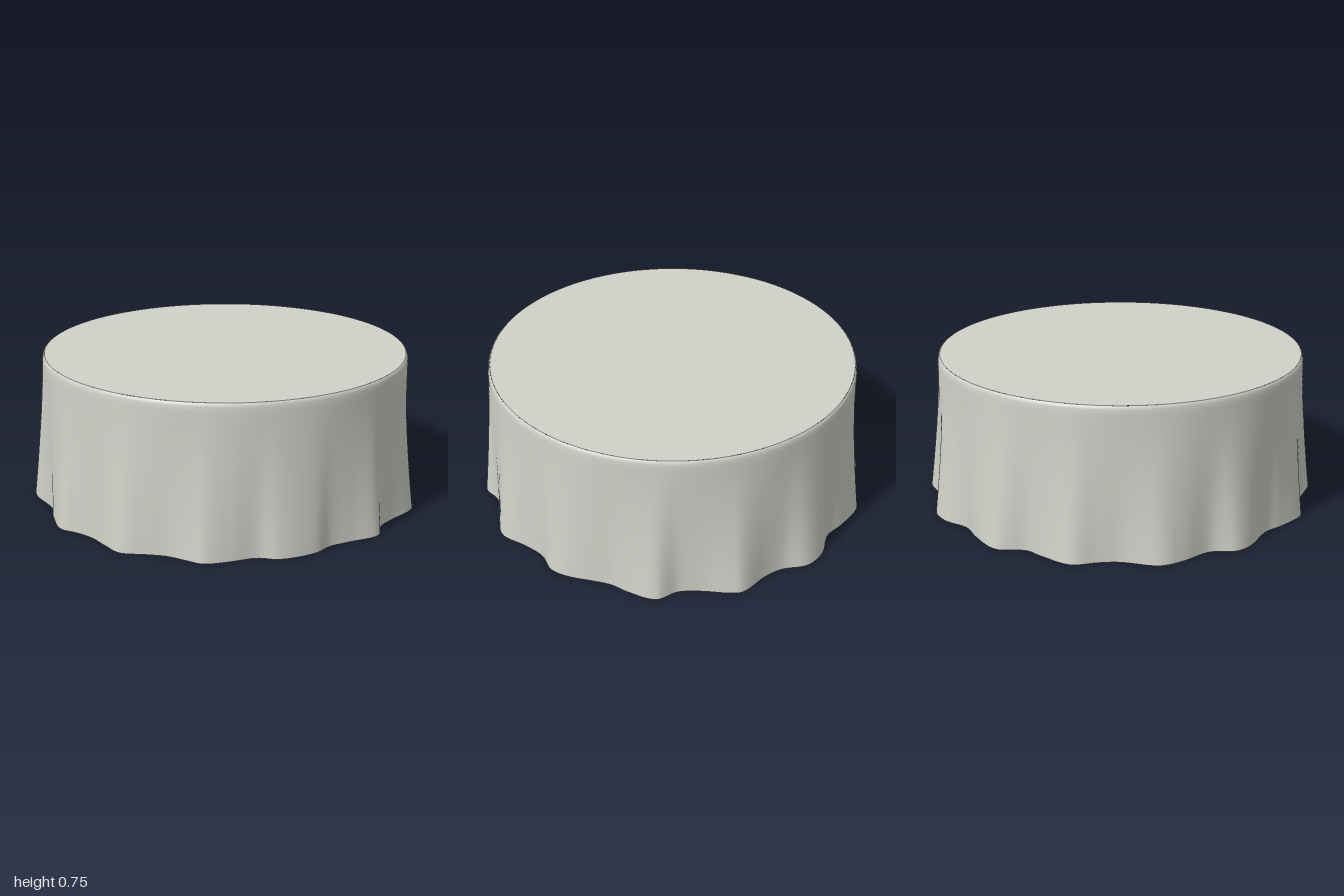
import * as THREE from 'three';

const HEIGHT = 0.755;
const TOP_RADIUS = 0.928;

// Hem outline as [angle in degrees from +x towards +z, radius]
const HEM = [
  [1, 0.998], [12, 0.947], [18, 0.94], [24, 0.99], [33, 0.946], [40, 0.93], [46, 0.96],
  [57, 0.966], [63, 0.931], [71, 0.96], [78, 0.988], [83, 0.962], [89, 0.939], [95, 0.955],
  [102, 0.992], [108, 0.965], [115, 0.94], [121, 0.956], [126, 0.99], [136, 0.955], [142, 0.932],
  [153, 0.985], [158, 0.99], [165, 0.935], [174, 0.975], [181, 1.0], [192, 0.945], [198, 0.957],
  [205, 1.0], [215, 0.952], [220, 0.933], [228, 0.998], [238, 0.964], [245, 0.938], [253, 0.99],
  [260, 0.998], [267, 0.943], [273, 0.944], [282, 1.0], [286, 0.985], [293, 0.947], [300, 0.942],
  [306, 0.998], [314, 0.967], [320, 0.938], [334, 0.975], [339, 0.977], [345, 0.934], [352, 0.945],
];

// Closed smooth hem curve
function hemPoints(count) {
  const points = HEM.map(([deg, r]) => {
    const a = THREE.MathUtils.degToRad(deg);
    return new THREE.Vector3(Math.cos(a) * r, 0, Math.sin(a) * r);
  });
  return new THREE.CatmullRomCurve3(points, true).getPoints(count).slice(0, count);
}

// Skirt: the round upper rim blends downward into the wavy hem
function skirtGeometry(hem) {
  const rings = [];
  const steps = 16;
  for (let j = 0; j <= steps; j++) {
    const t = j / steps;
    rings.push({ y: t * 0.715, fold: Math.pow(1 - t, 1.35), r: TOP_RADIUS });
  }
  // rounded shoulder
  rings.push({ y: 0.738, fold: 0, r: 0.926 }, { y: 0.75, fold: 0, r: 0.922 }, { y: HEIGHT, fold: 0, r: 0.916 });

  const n = hem.length;
  const positions = [];
  const index = [];
  rings.forEach(({ y, fold, r }, j) => {
    hem.forEach((p, i) => {
      const hemRadius = Math.hypot(p.x, p.z);
      const k = THREE.MathUtils.lerp(r, hemRadius, fold) / hemRadius;
      positions.push(p.x * k, y, p.z * k);
      if (j < rings.length - 1) {
        const a = j * n + i;
        const b = j * n + (i + 1) % n;
        index.push(a, a + n, b, b, a + n, b + n);
      }
    });
  });
  const geometry = new THREE.BufferGeometry();
  geometry.setAttribute('position', new THREE.Float32BufferAttribute(positions, 3));
  geometry.setIndex(index);
  geometry.computeVertexNormals();
  return geometry;
}

export function createModel() {
  const group = new THREE.Group();
  group.name = 'drapedRoundTable';
  const cloth = new THREE.MeshStandardMaterial({ color: 0xd0d1c8 });
  cloth.name = 'palecloth';

  const add = (name, geometry) => {
    const mesh = new THREE.Mesh(geometry, cloth);
    mesh.name = name;
    group.add(mesh);
    return mesh;
  };

  const hem = hemPoints(392);
  add('clothSkirt', skirtGeometry(hem));

  // flat table top
  const top = add('tableTop', new THREE.CircleGeometry(0.916, 128).rotateX(-Math.PI / 2));
  top.position.y = HEIGHT;

  // flat underside following the hem
  const outline = new THREE.Shape(hem.map((p) => new THREE.Vector2(p.x, p.z)));
  add('underside', new THREE.ShapeGeometry(outline).rotateX(Math.PI / 2));

  return group;
}
